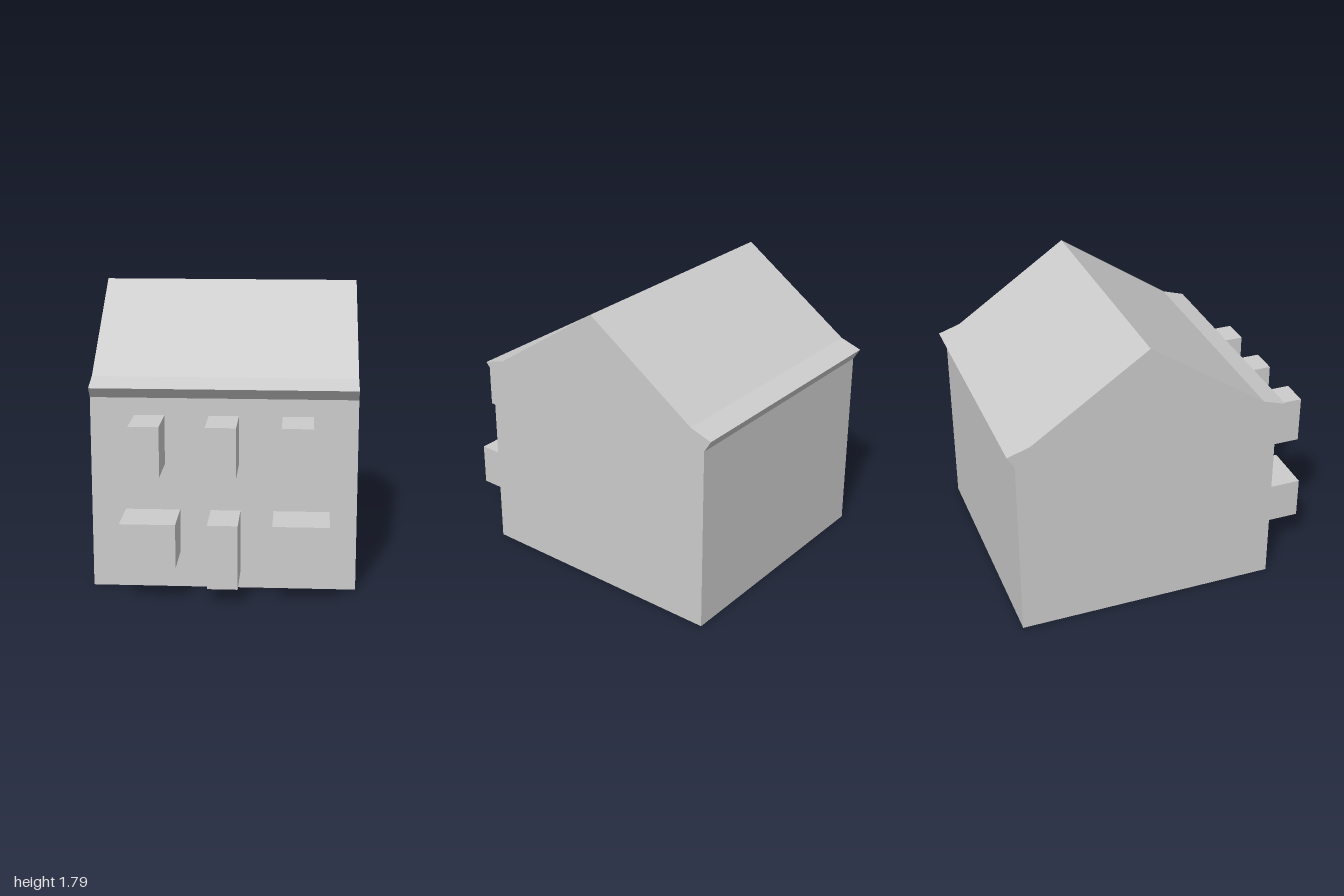
import * as THREE from 'three';

const WIDTH = 1.6, WALL_Z = 0.69, FRONT_Z = 1;

export function createModel() {
  const house = new THREE.Group();
  house.name = 'house';
  const grey = new THREE.MeshStandardMaterial({ color: 0xcccccc });
  grey.name = 'light grey';

  // Walls, flared eaves and gabled roof: one side profile (z, y) run across the width
  const profile = [
    [0.69, 0], [0.69, 1.18], [0.745, 1.245], [0.6, 1.29], [-0.135, 1.79],
    [-0.86, 1.3], [-1, 1.255], [-0.955, 1.18], [-0.955, 0],
  ];
  const shape = new THREE.Shape(profile.map(([z, y]) => new THREE.Vector2(z, y)));
  const bodyGeometry = new THREE.ExtrudeGeometry(shape, { depth: WIDTH, bevelEnabled: false });
  bodyGeometry.translate(0, 0, -WIDTH / 2).rotateY(-Math.PI / 2);
  const body = new THREE.Mesh(bodyGeometry, grey);
  body.name = 'wallsAndRoof';
  house.add(body);

  // Blocks standing out from the front wall
  const addBlock = (name, x0, x1, y0, y1) => {
    const depth = FRONT_Z - WALL_Z;
    const block = new THREE.Mesh(new THREE.BoxGeometry(x1 - x0, y1 - y0, depth), grey);
    block.position.set((x0 + x1) / 2, (y0 + y1) / 2, WALL_Z + depth / 2);
    block.name = name;
    house.add(block);
  };

  // Upper windows
  addBlock('upperWindowRight', -0.535, -0.355, 0.775, 1.075);
  addBlock('upperWindowMiddle', -0.09, 0.09, 0.775, 1.075);
  addBlock('upperWindowLeft', 0.35, 0.535, 0.775, 1.075);

  // Ground floor windows and door
  addBlock('lowerWindowRight', -0.595, -0.265, 0.225, 0.49);
  addBlock('lowerWindowLeft', 0.3, 0.635, 0.225, 0.49);
  addBlock('door', -0.08, 0.1, 0.1, 0.49);

  return house;
}
